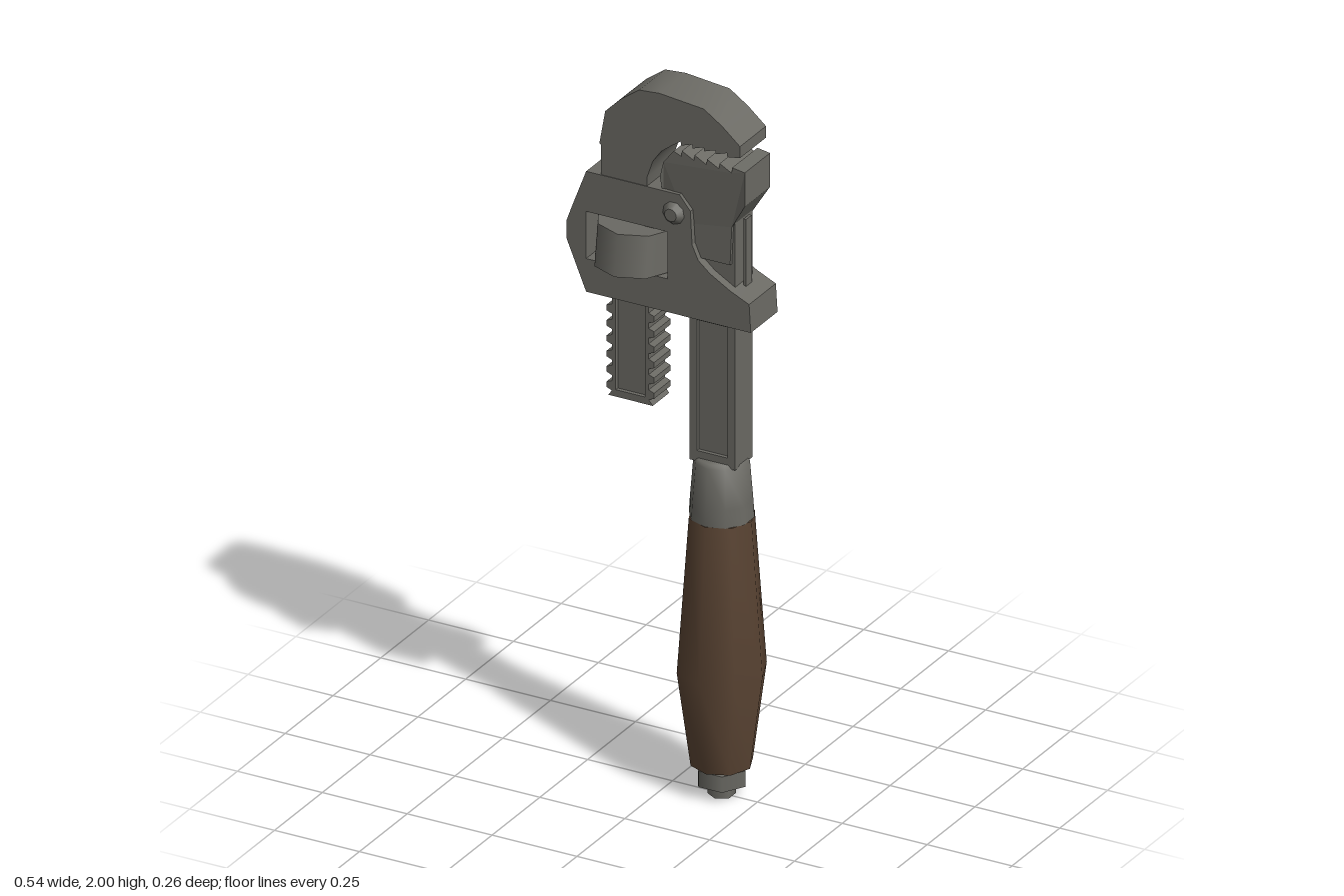
import * as THREE from 'three';
import { toCreasedNormals } from 'three/addons/utils/BufferGeometryUtils.js';

const steel = new THREE.MeshStandardMaterial({ color: 0x6a6963 });
steel.name = 'steel';
const wood = new THREE.MeshStandardMaterial({ color: 0x5a4433 });
wood.name = 'wood';

const HANDLE_X = 0.145;
const RACK_X = -0.1;

export function createModel() {
  const model = new THREE.Group();
  model.name = 'pipeWrench';

  const add = (name, geometry, material = steel, x = 0, y = 0, z = 0) => {
    const mesh = new THREE.Mesh(geometry, material);
    mesh.name = name;
    mesh.position.set(x, y, z);
    model.add(mesh);
    return mesh;
  };
  const vectors = (points) => points.map(([x, y]) => new THREE.Vector2(x, y));
  const rectangle = (x0, x1, y0, y1) => [[x0, y0], [x1, y0], [x1, y1], [x0, y1]];

  // Flat outline extruded equally to the front and back
  const slab = (outline, halfDepth, hole, crease = 0.3) => {
    const shape = new THREE.Shape(vectors(outline));
    if (hole) shape.holes.push(new THREE.Path(vectors(hole)));
    const geometry = new THREE.ExtrudeGeometry(shape, { depth: halfDepth * 2, bevelEnabled: false });
    geometry.translate(0, 0, -halfDepth);
    return toCreasedNormals(geometry, crease);
  };
  const turned = (profile, sides) =>
    toCreasedNormals(new THREE.LatheGeometry(vectors(profile), sides), 0.95);

  // Wooden grip and steel ferrule
  add('handle', turned([[0, 0.09], [0.083, 0.09], [0.12, 0.36], [0.088, 0.8], [0, 0.805]], 8), wood, HANDLE_X);
  add('ferrule', turned([[0, 0.79], [0.086, 0.8], [0.083, 0.85], [0.074, 0.96], [0.066, 0.97], [0, 0.97]], 10), steel, HANDLE_X);

  // End nut and bolt
  const hexagon = (radius, height) => new THREE.CylinderGeometry(radius, radius, height, 6).toNonIndexed();
  add('endWasher', new THREE.CylinderGeometry(0.055, 0.055, 0.02, 8), steel, HANDLE_X, 0.085);
  add('endNut', hexagon(0.07, 0.045), steel, HANDLE_X, 0.058).rotation.y = Math.PI / 6;
  add('endBolt', hexagon(0.036, 0.05), steel, HANDLE_X, 0.025);

  // Shank with a sunken panel on both faces
  add('shank', slab(rectangle(0.075, 0.21, 0.96, 1.7), 0.045, rectangle(0.097, 0.188, 0.99, 1.365)));
  add('shankPanel', new THREE.BoxGeometry(0.1, 0.39, 0.068), steel, 0.1425, 1.178);
  add('leafSpring', new THREE.BoxGeometry(0.008, 0.3, 0.03), steel, 0.221, 1.52);

  // Fixed lower jaw with biting teeth
  const jaw = [[0.075, 1.55], [0.2, 1.55], [0.205, 1.66], [0.25, 1.735], [0.25, 1.832]];
  for (let i = 0; i < 5; i++) {
    const x = 0.225 - i * 0.037;
    const y = 1.832 + i * 0.003;
    jaw.push([x - 0.012, y + 0.006], [x - 0.014, y - 0.01]);
  }
  jaw.push([0.04, 1.843], [0.01, 1.805], [0, 1.76], [0.005, 1.69], [0.075, 1.64]);
  const jawGeometry = slab(jaw, 0.066);
  const p = jawGeometry.attributes.position;
  for (let i = 0; i < p.count; i++) {
    if (p.getY(i) < 1.7) p.setZ(i, p.getZ(i) * 0.82); // neck is slimmer than the head
  }
  jawGeometry.computeVertexNormals();
  add('lowerJaw', jawGeometry);

  // Hook jaw
  const hook = [
    [-0.172, 1.66], [-0.172, 1.81], [-0.177, 1.815], [-0.16, 1.91], [-0.115, 1.955], [-0.06, 1.995],
    [0, 2], [0.13, 1.987], [0.185, 1.95], [0.237, 1.905], [0.237, 1.872],
  ];
  for (let i = 0; i < 5; i++) {
    const x = 0.2 - i * 0.034;
    hook.push([x, 1.866], [x - 0.002, 1.877]);
  }
  hook.push([0.035, 1.858], [0.005, 1.835], [-0.02, 1.8], [-0.037, 1.75], [-0.037, 1.66]);
  add('hookJaw', slab(hook.reverse(), 0.068, null, 0.7));

  // Toothed rack hanging below the hook
  const teeth = 13;
  const pitch = 0.044;
  const side = [];
  for (let i = 0; i < teeth; i++) {
    const y = 1.1 + i * pitch;
    side.push([0.054, y], [0.07, y + 0.006], [0.07, y + 0.022], [0.054, y + 0.028]);
  }
  const rack = [
    [-0.066, 1.085], [0.066, 1.085], ...side, [0.054, 1.7], [-0.054, 1.7],
    ...side.map(([x, y]) => [-x, y]).reverse(),
  ];
  add('rack', slab(rack, 0.043, rectangle(-0.043, 0.043, 1.105, 1.66)), steel, RACK_X);
  add('rackPanel', new THREE.BoxGeometry(0.092, 0.57, 0.064), steel, RACK_X, 1.38);

  // Housing with the window for the adjusting nut
  const housing = [
    [-0.215, 1.38], [0.27, 1.38], [0.265, 1.46], [0.21, 1.485], [0.15, 1.52], [0.115, 1.55],
    [0.097, 1.59], [0.092, 1.685], [0.06, 1.725], [-0.215, 1.725], [-0.255, 1.62], [-0.273, 1.57], [-0.273, 1.52],
  ];
  add('housing', slab(housing, 0.07, rectangle(-0.215, 0.025, 1.475, 1.61)));

  // Adjusting nut, slightly slanted
  const nut = new THREE.CylinderGeometry(0.127, 0.127, 0.115, 9);
  nut.applyMatrix4(new THREE.Matrix4().set(0.92, 0, 0, 0, 0, 1, 0, 0, 0, -0.15, 1, 0, 0, 0, 0, 1));
  add('adjustingNut', nut, steel, -0.095, 1.537);

  // Pivot rivet heads
  for (const s of [-1, 1]) {
    const rivet = add('rivet', new THREE.CylinderGeometry(0.018, 0.034, 0.018, 9), steel, 0.042, 1.668, s * 0.077);
    rivet.rotation.x = s * Math.PI / 2;
  }

  return model;
}
